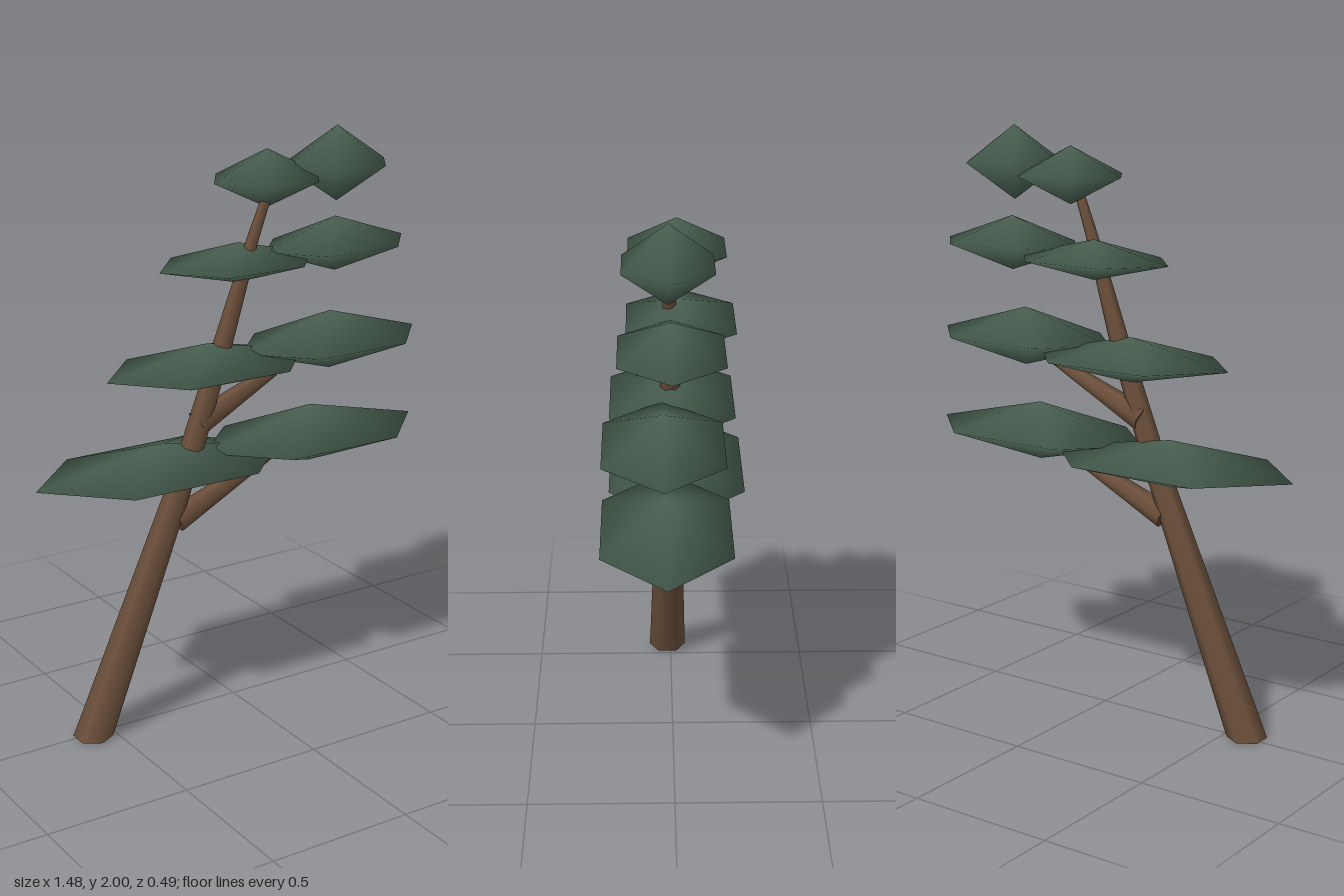
import * as THREE from 'three';

export function createModel() {
  const bark = new THREE.MeshStandardMaterial({ name: 'bark brown', color: 0x6b4f3a });
  const needles = new THREE.MeshStandardMaterial({ name: 'needle green', color: 0x4a6152 });

  const tree = new THREE.Group();
  tree.name = 'leaningTree';

  const add = (name, geometry, material) => {
    const mesh = new THREE.Mesh(geometry, material);
    mesh.name = name;
    tree.add(mesh);
    return mesh;
  };

  // Leaning trunk: six-sided, level cross-sections [x, y, z, radius] from the ground up
  const rings = [
    [-0.575, 0, 0.012, 0.068],
    [-0.195, 0.9, 0.01, 0.043],
    [-0.05, 1.3, 0.008, 0.034],
    [0.068, 1.65, 0.012, 0.021],
    [0.145, 1.85, 0.015, 0.015],
  ];
  const last = rings.length - 1;
  const trunk = new THREE.CylinderGeometry(1, 1, last, 6, last);
  const pos = trunk.attributes.position;
  const nor = trunk.attributes.normal;
  const n = new THREE.Vector3();
  const along = new THREE.Vector3();
  for (let i = 0; i < pos.count; i++) {
    const row = Math.round(pos.getY(i) + last / 2);
    const [x, y, z, r] = rings[row];
    pos.setXYZ(i, x + pos.getX(i) * r, y, z + pos.getZ(i) * r);
    n.fromBufferAttribute(nor, i);
    if (Math.abs(n.y) < 0.5) {
      // tilt the side normals to follow the lean
      const a = rings[Math.max(row - 1, 0)];
      const b = rings[Math.min(row + 1, last)];
      along.set(b[0] - a[0], b[1] - a[1], b[2] - a[2]).normalize();
      n.addScaledVector(along, -n.dot(along)).normalize();
      nor.setXYZ(i, n.x, n.y, n.z);
    }
  }
  add('trunk', trunk, bark);

  // Two tapering branches reaching to the lower right-hand pads
  const up = new THREE.Vector3(0, 1, 0);
  const branches = [
    [[-0.24, 0.715, 0.01], [0.22, 0.915, 0.005]],
    [[-0.15, 1.04, 0.005], [0.26, 1.225, 0]],
  ];
  branches.forEach(([from, to], i) => {
    const a = new THREE.Vector3(...from);
    const b = new THREE.Vector3(...to);
    const dir = b.clone().sub(a);
    const branch = add('branch' + (i + 1),
      new THREE.CylinderGeometry(0.015, 0.044, dir.length(), 6), bark);
    branch.position.copy(a).add(b).multiplyScalar(0.5);
    branch.quaternion.setFromUnitVectors(up, dir.normalize());
  });

  // Foliage pads: flattened six-sided double cones [x, y, z, rx, ry, rz]
  const pads = [
    [-0.276, 0.908, -0.015, 0.47, 0.08, 0.271],
    [0.3, 0.938, 0.025, 0.435, 0.102, 0.248],
    [-0.105, 1.237, 0.002, 0.382, 0.077, 0.242],
    [0.37, 1.267, 0.035, 0.362, 0.102, 0.225],
    [0.03, 1.567, -0.025, 0.3, 0.068, 0.205],
    [0.405, 1.595, 0.01, 0.285, 0.094, 0.193],
    [0.137, 1.842, -0.01, 0.206, 0.098, 0.178],
    [0.4, 1.872, 0.02, 0.197, 0.128, 0.163],
  ];
  pads.forEach(([x, y, z, rx, ry, rz], i) => {
    const pad = new THREE.SphereGeometry(1, 6, 2).scale(rx, ry, rz);
    const side = i % 2 ? 'outerPad' : 'trunkPad';
    add(side + (Math.floor(i / 2) + 1), pad, needles).position.set(x, y, z);
  });

  return tree;
}
